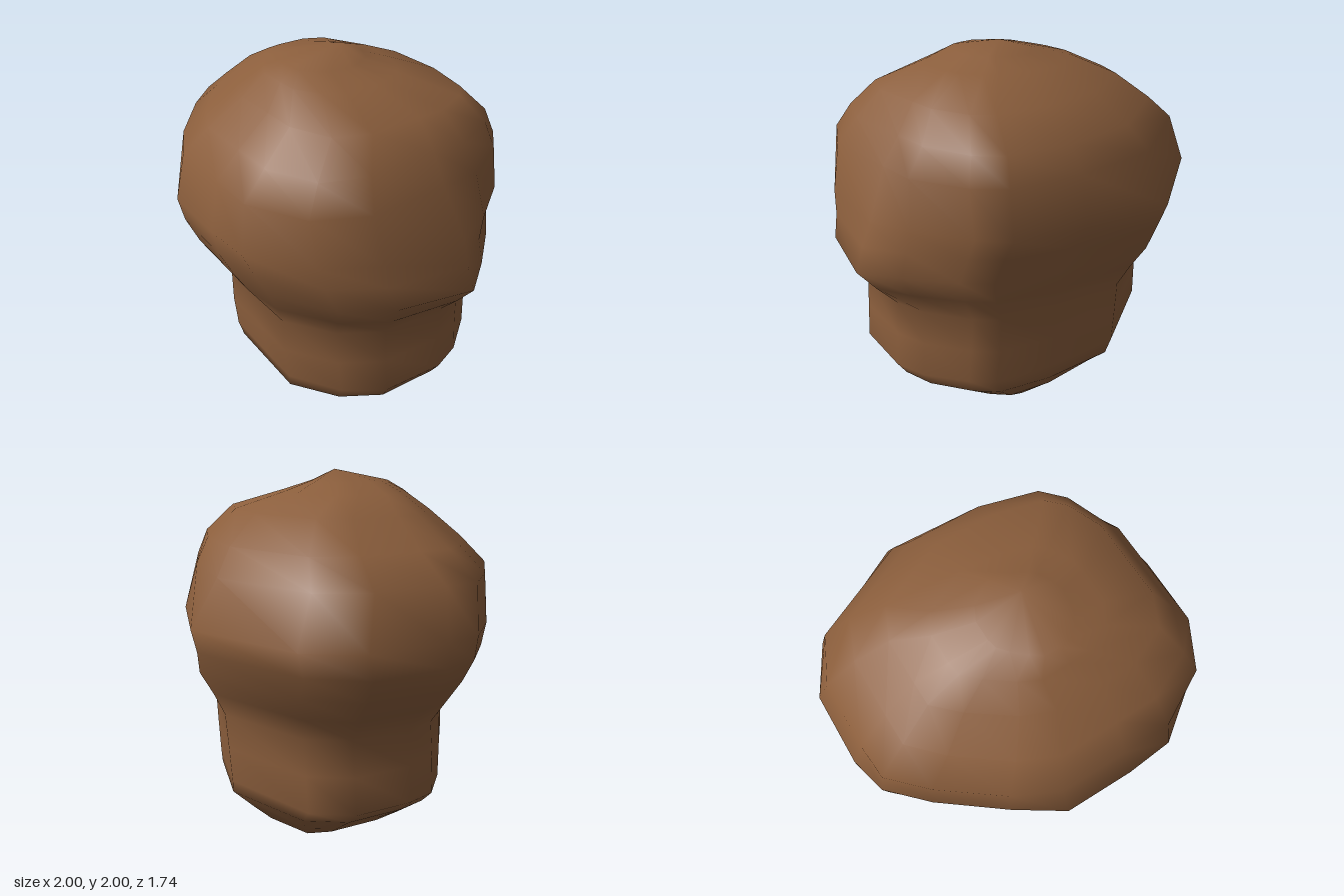
import * as THREE from 'three';

// Plan outline at the widest level (x, z), running back, left, front, right
const OUTLINE = [
  [-0.25, -0.87], [0.25, -0.74], [0.58, -0.6], [0.7, -0.48], [0.88, -0.24], [1, -0.04],
  [0.9, 0.37], [0.74, 0.61], [0.45, 0.81], [0.2, 0.86], [-0.18, 0.855], [-0.42, 0.7],
  [-0.74, 0.47], [-0.93, 0.29], [-1, 0.1], [-1, -0.29], [-0.83, -0.55],
];

// Levels from top to bottom: y, xMin, xMax, zMin, zMax, fullness of the corners
const LEVELS = [
  [1.94, -0.21, 0.2, -0.12, 0.32, 0.05],
  [1.89, -0.4, 0.34, -0.25, 0.39, 0.15],
  [1.8, -0.57, 0.59, -0.48, 0.52, 0.25],
  [1.66, -0.75, 0.69, -0.64, 0.68, 0.25],
  [1.53, -0.92, 0.78, -0.73, 0.8, 0.2],
  [1.29, -1, 0.9, -0.87, 0.87, 0.06],
  [1.17, -1, 0.95, -0.84, 0.86, 0],
  [1.05, -0.95, 1, -0.82, 0.82, -0.02],
  [0.92, -0.85, 0.9, -0.75, 0.74, 0.02],
  [0.79, -0.75, 0.79, -0.69, 0.66, 0.08],
  [0.6, -0.77, 0.8, -0.68, 0.66, 0.09],
  [0.41, -0.79, 0.82, -0.67, 0.645, 0.09],
  [0.33, -0.71, 0.77, -0.66, 0.63, 0.1],
  [0.2, -0.54, 0.54, -0.54, 0.46, 0.2],
  [0.1, -0.41, 0.33, -0.44, 0.33, 0.3],
  [0.04, -0.25, 0.12, -0.25, 0.12, 0.3],
];

function makeGeometry(positions, index) {
  const g = new THREE.BufferGeometry();
  g.setAttribute('position', new THREE.Float32BufferAttribute(positions, 3));
  g.setIndex(index);
  g.computeVertexNormals();
  return g;
}

// How strongly each corner of the plan follows the fullness of a level
function cornerWeight(u, v) {
  const side = u > 0 ? (v < 0 ? 1 : 0.7) : (v < 0 ? 0.25 : 0.3);
  return side * Math.min(1, 3 * Math.abs(u * v));
}

// Closed loft: the outline is filled out and fitted to the bounds of every level
function lumpGeometry() {
  const n = OUTLINE.length;
  const { clamp, lerp } = THREE.MathUtils;
  const positions = [];
  const index = [];
  for (const [y, x0, x1, z0, z1, fullness] of LEVELS) {
    for (const [u, z] of OUTLINE) {
      const v = z / 0.865;
      const s = 1 + fullness * cornerWeight(u, v);
      positions.push(
        lerp(x0, x1, (clamp(u * s, -1, 1) + 1) / 2),
        y,
        lerp(z0, z1, (clamp(v * s, -1, 1) + 1) / 2),
      );
    }
  }
  const top = LEVELS.length * n;
  const bottom = top + 1;
  positions.push(0.02, 2, 0.03, 0, 0, -0.1);

  const last = (LEVELS.length - 1) * n;
  for (let j = 0; j < n; j++) {
    const k = (j + 1) % n;
    index.push(top, k, j, bottom, last + j, last + k);
    for (let i = 0; i < last; i += n) {
      index.push(i + j, i + k, i + n + j, i + k, i + n + k, i + n + j);
    }
  }
  return makeGeometry(positions, index);
}

// Small flat dark patch lying on the sloping lower front
function patchGeometry() {
  const corners = [[-0.56, 0.33], [-0.32, 0.355], [-0.32, 0.38], [-0.39, 0.41], [-0.55, 0.39]];
  const positions = corners.flatMap(([x, y]) => [
    x, y, 0.55 + 0.654 * (x + 0.32) - 0.6 * (0.41 - y),
  ]);
  return makeGeometry(positions, [0, 1, 2, 0, 2, 3, 0, 3, 4]);
}

export function createModel() {
  const brown = new THREE.MeshStandardMaterial({ color: 0x8b5e3c });
  brown.name = 'brown';
  const dark = new THREE.MeshStandardMaterial({ color: 0x1a0a0a });
  dark.name = 'dark brown';

  const group = new THREE.Group();
  group.name = 'lumpyMound';

  const body = new THREE.Mesh(lumpGeometry(), brown);
  body.name = 'body';
  const patch = new THREE.Mesh(patchGeometry(), dark);
  patch.name = 'darkPatch';
  group.add(body, patch);
  return group;
}
